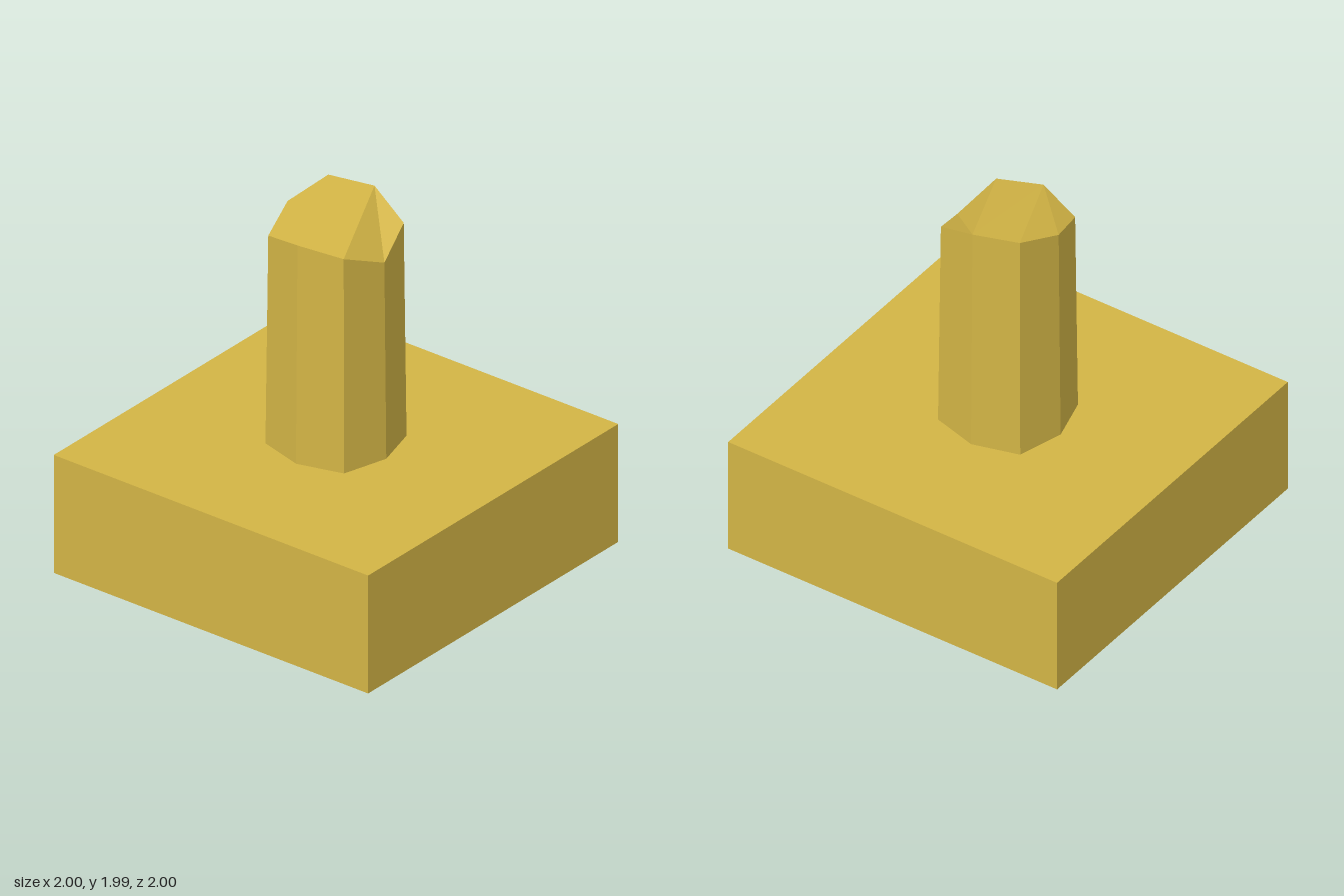
import * as THREE from 'three';

export function createModel() {
  const model = new THREE.Group();
  const ochre = new THREE.MeshStandardMaterial({ color: 0xd2b445 });
  ochre.name = 'ochre';

  // Square block
  const base = new THREE.Mesh(new THREE.BoxGeometry(2, 0.67, 2), ochre);
  base.name = 'base';
  base.position.y = 0.335;
  model.add(base);

  // Eight-sided tapered pillar; each corner has its own height at the broken top
  const topHeights = [1.78, 1.88, 1.905, 1.85, 1.92, 1.99, 1.98, 1.88];
  const corner = (i, axis, diagonal, y) => {
    const a = (i * Math.PI) / 4;
    const r = i % 2 ? diagonal * Math.SQRT2 : axis;
    return new THREE.Vector3(Math.cos(a) * r, y, Math.sin(a) * r);
  };
  const bottom = topHeights.map((_, i) => corner(i, 0.32, 0.25, 0.67));
  const top = topHeights.map((y, i) => corner(i, 0.308, 0.24, y));

  const points = [];
  for (let i = 0; i < 8; i++) {
    const j = (i + 1) % 8;
    points.push(bottom[j], bottom[i], top[i], bottom[j], top[i], top[j]);
  }
  // Three slanted facets across the top, two triangles each
  const facets = [[0, 7, 6], [1, 0, 6], [6, 5, 2], [6, 2, 1], [5, 4, 2], [4, 3, 2]];
  facets.forEach((f) => f.forEach((i) => points.push(top[i])));

  const geometry = new THREE.BufferGeometry().setFromPoints(points);
  geometry.computeVertexNormals();
  const pillar = new THREE.Mesh(geometry, ochre);
  pillar.name = 'pillar';
  model.add(pillar);

  return model;
}
